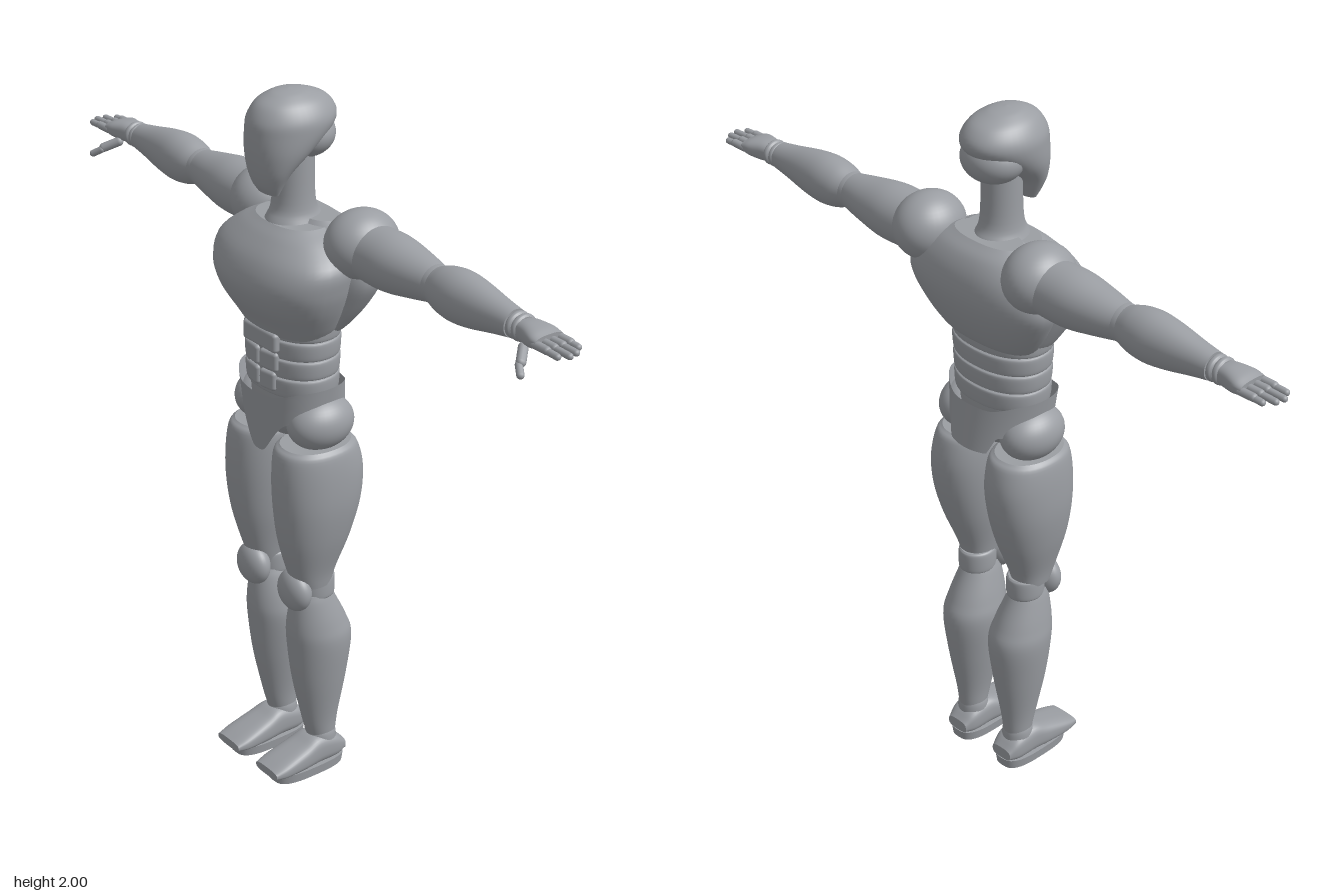
import * as THREE from 'three';
import { RoundedBoxGeometry } from 'three/addons/geometries/RoundedBoxGeometry.js';

const grey = new THREE.MeshStandardMaterial({ color: 0x9b9ea3, side: THREE.DoubleSide });
grey.name = 'grey';

// Skin over closed rings of points, ordered bottom to top, with optional end caps
function skin(rings, capped = true) {
  const n = rings[0].length, pos = [], idx = [];
  rings.forEach(r => r.forEach(p => pos.push(...p)));
  for (let i = 0; i < rings.length - 1; i++) {
    for (let j = 0; j < n; j++) {
      const a = i * n + j, b = i * n + (j + 1) % n;
      idx.push(a, a + n, b, b, a + n, b + n);
    }
  }
  if (capped) {
    [rings[0], rings[rings.length - 1]].forEach((r, end) => {
      const base = pos.length / 3;
      const mid = [0, 1, 2].map(k => r.reduce((s, p) => s + p[k], 0) / n);
      pos.push(...mid);
      r.forEach(p => pos.push(...p));
      for (let j = 0; j < n; j++) {
        const a = base + 1 + j, b = base + 1 + (j + 1) % n;
        idx.push(base, ...(end ? [b, a] : [a, b]));
      }
    });
  }
  const g = new THREE.BufferGeometry();
  g.setAttribute('position', new THREE.Float32BufferAttribute(pos, 3));
  g.setIndex(idx);
  g.computeVertexNormals();
  return g;
}

// Superellipse sections [y, halfX, halfZ, centreX, centreZ], smoothed along y
function loft(sections, power = 2, seg = 40) {
  const size = new THREE.CatmullRomCurve3(
    sections.map(s => new THREE.Vector3(s[0], s[1], s[2])), false, 'catmullrom');
  const mid = new THREE.CatmullRomCurve3(
    sections.map(s => new THREE.Vector3(s[3] || 0, s[4] || 0, 0)), false, 'catmullrom');
  const steps = (sections.length - 1) * 5, rings = [];
  const bend = v => Math.sign(v) * Math.pow(Math.abs(v), 2 / power);
  for (let i = 0; i <= steps; i++) {
    const s = size.getPoint(i / steps), c = mid.getPoint(i / steps), ring = [];
    for (let j = 0; j < seg; j++) {
      const t = j / seg * Math.PI * 2;
      ring.push([c.x + s.y * bend(Math.cos(t)), s.x, c.y + s.z * bend(Math.sin(t))]);
    }
    rings.push(ring);
  }
  return skin(rings);
}

// Section given by its back and front z
const span = (y, halfX, back, front, x = 0) => [y, halfX, (front - back) / 2, x, (front + back) / 2];

const ball = (x, y, z, rx, ry, rz) =>
  new THREE.SphereGeometry(1, 36, 24).scale(rx, ry, rz).translate(x, y, z);

// Rounded rod between two points
function rod(a, b, r) {
  const p = new THREE.Vector3(...a), q = new THREE.Vector3(...b), d = q.clone().sub(p);
  const g = new THREE.CapsuleGeometry(r, d.length() - 2 * r, 6, 12);
  g.applyQuaternion(new THREE.Quaternion().setFromUnitVectors(new THREE.Vector3(0, 1, 0), d.normalize()));
  return g.translate(...p.add(q).multiplyScalar(0.5).toArray());
}

// Copy reflected in x, with the corner order put right
function mirrored(g) {
  const m = g.clone();
  for (const k of ['position', 'normal']) {
    const at = m.attributes[k];
    for (let i = 0; i < at.count; i++) at.setX(i, -at.getX(i));
  }
  if (!m.index) m.setIndex([...Array(m.attributes.position.count).keys()]);
  const ix = m.index.array;
  for (let i = 0; i < ix.length; i += 3) [ix[i], ix[i + 1]] = [ix[i + 1], ix[i]];
  return m;
}

export function createModel() {
  const model = new THREE.Group();
  model.name = 'mannequin';
  const add = (name, g) => {
    const m = new THREE.Mesh(g, grey);
    m.name = name;
    model.add(m);
  };
  const pair = (name, g) => {
    add(name + 'Left', g);
    add(name + 'Right', mirrored(g));
  };

  // Head: face shell over a recessed skull, then the neck
  add('faceShell', loft([
    span(1.735, 0.04, 0.06, 0.095), span(1.76, 0.053, 0.045, 0.112), span(1.8, 0.073, 0.02, 0.124),
    span(1.85, 0.092, -0.045, 0.131), span(1.9, 0.1, -0.108, 0.132), span(1.935, 0.097, -0.12, 0.127),
    span(1.97, 0.076, -0.095, 0.105), span(1.99, 0.047, -0.05, 0.07), span(1.997, 0.026, -0.02, 0.045),
    span(2, 0.003, 0.01, 0.015)]));
  add('skull', ball(0, 1.875, -0.035, 0.088, 0.066, 0.08));
  add('neck', loft([span(1.6, 0.1, -0.11, 0.1), span(1.65, 0.068, -0.085, 0.075),
    span(1.7, 0.055, -0.062, 0.055), span(1.85, 0.052, -0.058, 0.05)]));

  // Torso: chest in front, wider back shell behind
  add('chest', loft([
    span(1.355, 0.145, -0.08, 0.105), span(1.39, 0.168, -0.09, 0.125), span(1.45, 0.2, -0.1, 0.16),
    span(1.51, 0.22, -0.11, 0.174), span(1.57, 0.222, -0.11, 0.152), span(1.62, 0.17, -0.1, 0.11),
    span(1.65, 0.115, -0.08, 0.075)], 2.3));
  add('backShell', loft([
    span(1.35, 0.13, -0.08, 0.03), span(1.38, 0.16, -0.115, 0.03), span(1.45, 0.21, -0.15, 0.025),
    span(1.52, 0.243, -0.167, 0.02), span(1.58, 0.225, -0.16, 0.02), span(1.63, 0.17, -0.135, 0.02),
    span(1.66, 0.11, -0.1, 0)], 2.3));

  // Waist bands and stomach plates
  for (let i = 0; i < 4; i++) {
    const y = 1.18 + i * 0.055, w = 0.138 + i * 0.004;
    add('waistBand', loft([[y, w - 0.006, 0.098], [y + 0.008, w + 0.002, 0.104],
      [y + 0.047, w + 0.004, 0.106], [y + 0.055, w - 0.004, 0.1]], 2.2));
  }
  for (let i = 0; i < 2; i++) {
    const w = 0.056 + i * 0.008;
    pair('stomachPlate', new RoundedBoxGeometry(w, 0.055, 0.03, 3, 0.01)
      .rotateY(0.15).translate(w / 2 + 0.002, 1.222 + i * 0.058, 0.097));
  }
  add('upperStomachPlate', new RoundedBoxGeometry(0.14, 0.055, 0.03, 3, 0.01).translate(0, 1.337, 0.099));

  // Pelvis and flared belt with pointed front and squared back flaps
  add('pelvis', loft([[1.04, 0.05, 0.05], [1.08, 0.1, 0.08], [1.13, 0.125, 0.095], [1.2, 0.13, 0.1]]));
  const ease = (x, a, b) => THREE.MathUtils.smoothstep(x, a, b);
  const belt = [];
  for (let i = 0; i <= 8; i++) {
    const ring = [];
    for (let j = 0; j < 96; j++) {
      const t = j / 96 * Math.PI * 2, c = Math.cos(t), s = Math.sin(t), x = Math.abs(c) * 0.155;
      const front = s > 0;
      const low = front ? 1.01 + 0.1 * ease(x, 0.015, 0.115) : 1.06 + 0.05 * ease(x, 0.075, 0.1);
      const high = 1.185 + 0.025 * ease(x, 0.06, 0.155);
      const y = low + (high - low) * i / 8;
      const w = 0.138 + (y - 1.1) * 0.16;
      const d = front ? 0.122 + (y - 1.1) * 0.08 : 0.138 - (y - 1.1) * 0.15;
      ring.push([w * c, y, d * Math.sign(s) * Math.pow(Math.abs(s), 0.85)]);
    }
    belt.push(ring);
  }
  add('belt', skin(belt, false));

  // Legs
  pair('hip', ball(0.115, 1.1, -0.005, 0.075, 0.075, 0.098));
  pair('thigh', loft([
    span(0.61, 0.046, -0.045, 0.065, 0.1), span(0.66, 0.056, -0.06, 0.085, 0.1),
    span(0.76, 0.08, -0.1, 0.112, 0.103), span(0.86, 0.094, -0.128, 0.125, 0.105),
    span(0.95, 0.097, -0.136, 0.127, 0.103), span(1.02, 0.092, -0.12, 0.118, 0.1),
    span(1.04, 0.078, -0.1, 0.1, 0.1)], 2.2));
  pair('kneeCap', ball(0.093, 0.597, 0.064, 0.06, 0.06, 0.038));
  pair('kneeJoint', loft([[0.565, 0.045, 0.05, 0.094, -0.006], [0.575, 0.05, 0.055, 0.094, -0.006],
    [0.62, 0.05, 0.055, 0.094, -0.006], [0.63, 0.045, 0.05, 0.094, -0.006]]));
  pair('shin', loft([
    span(0.105, 0.038, -0.073, 0.012, 0.09), span(0.17, 0.045, -0.082, 0.03, 0.09),
    span(0.3, 0.067, -0.105, 0.058, 0.09), span(0.42, 0.081, -0.118, 0.072, 0.09),
    span(0.48, 0.073, -0.1, 0.075, 0.091), span(0.55, 0.055, -0.065, 0.068, 0.093),
    span(0.58, 0.045, -0.05, 0.06, 0.094)]));

  // Feet: lofted from heel to toe
  pair('ankle', loft([[0.07, 0.044, 0.046, 0.09, -0.03], [0.105, 0.042, 0.044, 0.09, -0.03],
    [0.125, 0.036, 0.038, 0.09, -0.03]]));
  const shoe = [[-0.095, 0.035, 0.03, 0.065], [-0.06, 0.046, 0.02, 0.095], [0, 0.05, 0.02, 0.11],
    [0.05, 0.054, 0.02, 0.093], [0.12, 0.055, 0.022, 0.07], [0.16, 0.049, 0.03, 0.055]]
    .map(([z, w, low, high]) => [z, w, (high - low) / 2, 0.09, -(high + low) / 2]);
  pair('shoe', loft(shoe, 3).rotateX(Math.PI / 2));
  pair('sole', loft([[0, 0.05, 0.114, 0.09, 0.022], [0.028, 0.053, 0.118, 0.09, 0.022]], 3));

  // Arms: lofted along x, then set at shoulder height
  const limb = (s, power) => loft(s, power).rotateZ(-Math.PI / 2).translate(0, 1.612, -0.07);
  pair('shoulder', ball(0.2, 1.622, -0.069, 0.09, 0.092, 0.104));
  pair('upperArm', limb([[0.2, 0.07, 0.075], [0.27, 0.076, 0.08], [0.34, 0.076, 0.079],
    [0.42, 0.063, 0.066], [0.49, 0.05, 0.05]]));
  pair('elbow', limb([[0.475, 0.046, 0.046], [0.485, 0.05, 0.05], [0.505, 0.05, 0.05], [0.515, 0.046, 0.046]]));
  pair('forearm', limb([[0.5, 0.049, 0.049], [0.54, 0.063, 0.06], [0.59, 0.069, 0.064],
    [0.65, 0.063, 0.058], [0.73, 0.047, 0.045], [0.785, 0.037, 0.038]]));
  for (const x of [0.785, 0.805]) {
    pair('wristRing', limb([[x, 0.03, 0.033], [x + 0.005, 0.035, 0.038],
      [x + 0.013, 0.035, 0.038], [x + 0.018, 0.03, 0.033]]));
  }

  // Hands
  pair('palm', limb([[0.815, 0.026, 0.032], [0.845, 0.029, 0.038], [0.88, 0.025, 0.047],
    [0.905, 0.016, 0.046]], 2.6));
  [0.975, 0.995, 1, 0.985].forEach((tip, i) => {
    const z = -0.107 + i * 0.025;
    pair('finger', rod([0.885, 1.609, z], [0.95, 1.609, z], 0.011));
    pair('fingertip', rod([0.935, 1.608, z], [tip, 1.606, z], 0.009));
  });
  pair('thumb', rod([0.845, 1.59, -0.045], [0.89, 1.56, 0.005], 0.013));
  pair('thumbTip', rod([0.875, 1.566, -0.002], [0.912, 1.541, 0.022], 0.01));

  return model;
}
